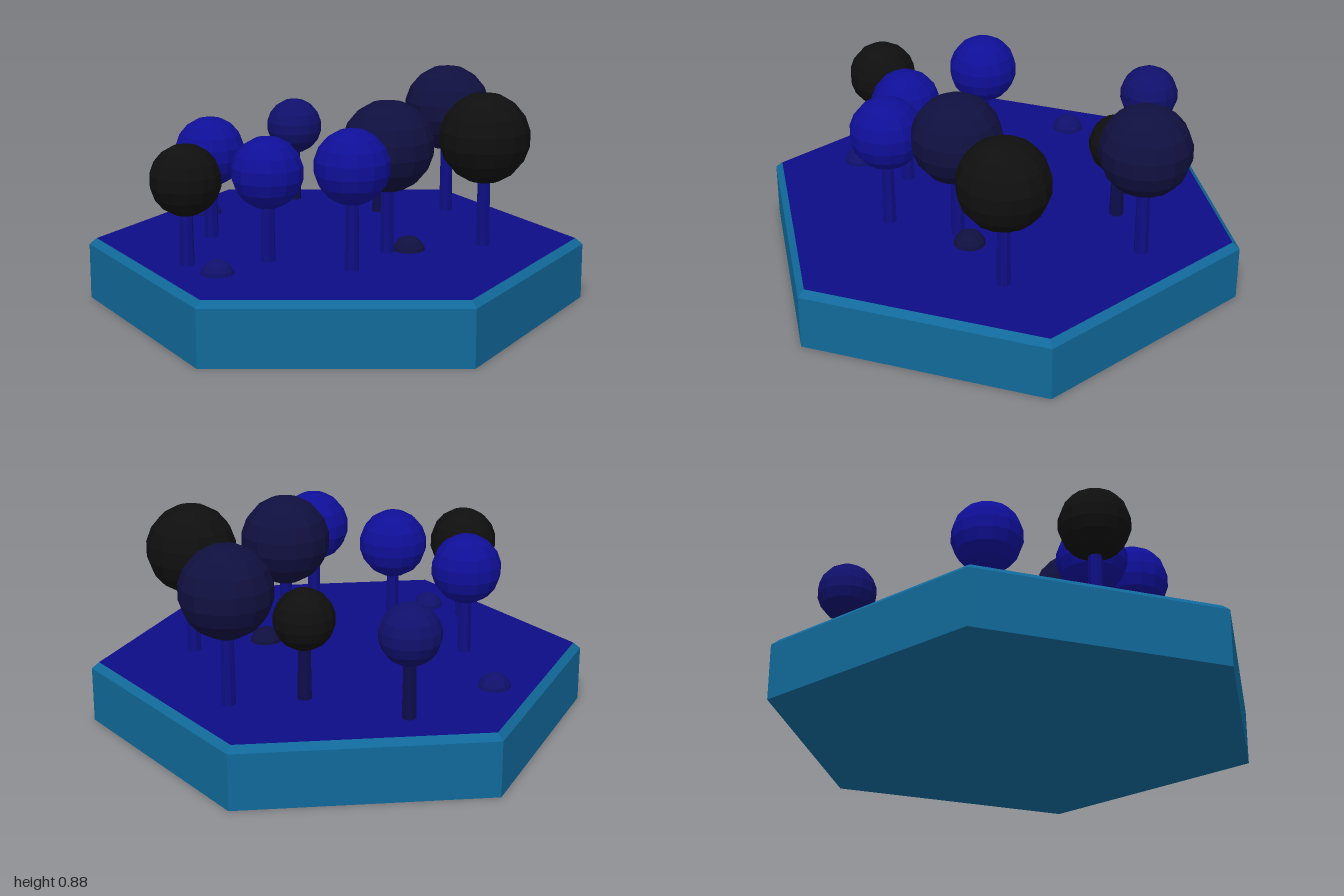
import * as THREE from 'three';

const mat = (name, color, flatShading = true) => {
  const m = new THREE.MeshStandardMaterial({ color, flatShading });
  m.name = name;
  return m;
};

export function createModel() {
  const model = new THREE.Group();
  model.name = 'hexForestTile';

  const teal = mat('teal', 0x11699a);
  const ground = mat('groundBlue', 0x0d0c86);
  const blue = mat('leafBlue', 0x0f0f98);
  const midNavy = mat('leafMidNavy', 0x10106c);
  const navy = mat('leafDarkNavy', 0x101040);
  const black = mat('leafBlack', 0x0f0f0f);
  const trunkBlue = mat('trunkBlue', 0x0e0e84);
  const trunkNavy = mat('trunkNavy', 0x0d0d4c);

  const add = (parent, name, geometry, material, x, y, z) => {
    const mesh = new THREE.Mesh(geometry, material);
    mesh.name = name;
    mesh.position.set(x, y, z);
    parent.add(mesh);
    return mesh;
  };

  // Hexagonal base: straight sides, bevelled rim, coloured top
  const TOP = 0.25, RIM = 0.225, INNER = 0.97;
  add(model, 'baseSides', new THREE.CylinderGeometry(1, 1, RIM, 6, 1, true), teal, 0, RIM / 2, 0);
  add(model, 'baseRim', new THREE.CylinderGeometry(INNER, 1, TOP - RIM, 6, 1, true), teal, 0, (TOP + RIM) / 2, 0);
  const bottom = add(model, 'baseBottom', new THREE.CircleGeometry(1, 6, Math.PI / 2), teal, 0, 0, 0);
  bottom.rotation.x = Math.PI / 2;
  const top = add(model, 'groundTop', new THREE.CircleGeometry(INNER, 6, Math.PI / 2), ground, 0, TOP, 0);
  top.rotation.x = -Math.PI / 2;

  // Trees: x, z, crown radius, crown centre height, leaf, trunk
  const trees = [
    [0.175, -0.645, 0.181, 0.7, navy, trunkBlue],
    [-0.065, -0.48, 0.12, 0.57, black, trunkNavy],
    [-0.495, -0.49, 0.12, 0.58, midNavy, trunkNavy],
    [0.555, -0.21, 0.181, 0.685, black, trunkBlue],
    [0.275, 0.075, 0.181, 0.675, navy, trunkBlue],
    [0.28, 0.365, 0.146, 0.65, blue, trunkBlue],
    [-0.06, 0.42, 0.141, 0.6, blue, trunkBlue],
    [-0.455, 0.225, 0.141, 0.603, blue, trunkBlue],
    [-0.3, 0.62, 0.139, 0.583, black, trunkBlue],
  ];
  for (const [x, z, r, y, leaf, bark] of trees) {
    const tree = new THREE.Group();
    tree.name = 'tree';
    tree.position.set(x, TOP, z);
    const h = y - TOP;
    add(tree, 'trunk', new THREE.CylinderGeometry(0.024, 0.029, h, 8), bark, 0, h / 2, 0);
    add(tree, 'crown', new THREE.SphereGeometry(r, 14, 9), leaf, 0, h, 0);
    model.add(tree);
  }

  // Low bushes half sunk in the ground
  for (const [x, z, leaf] of [[-0.69, -0.085, midNavy], [-0.13, 0.665, midNavy], [0.335, 0.005, navy]]) {
    add(model, 'bush', new THREE.SphereGeometry(0.066, 12, 8), leaf, x, 0.24, z);
  }

  return model;
}
